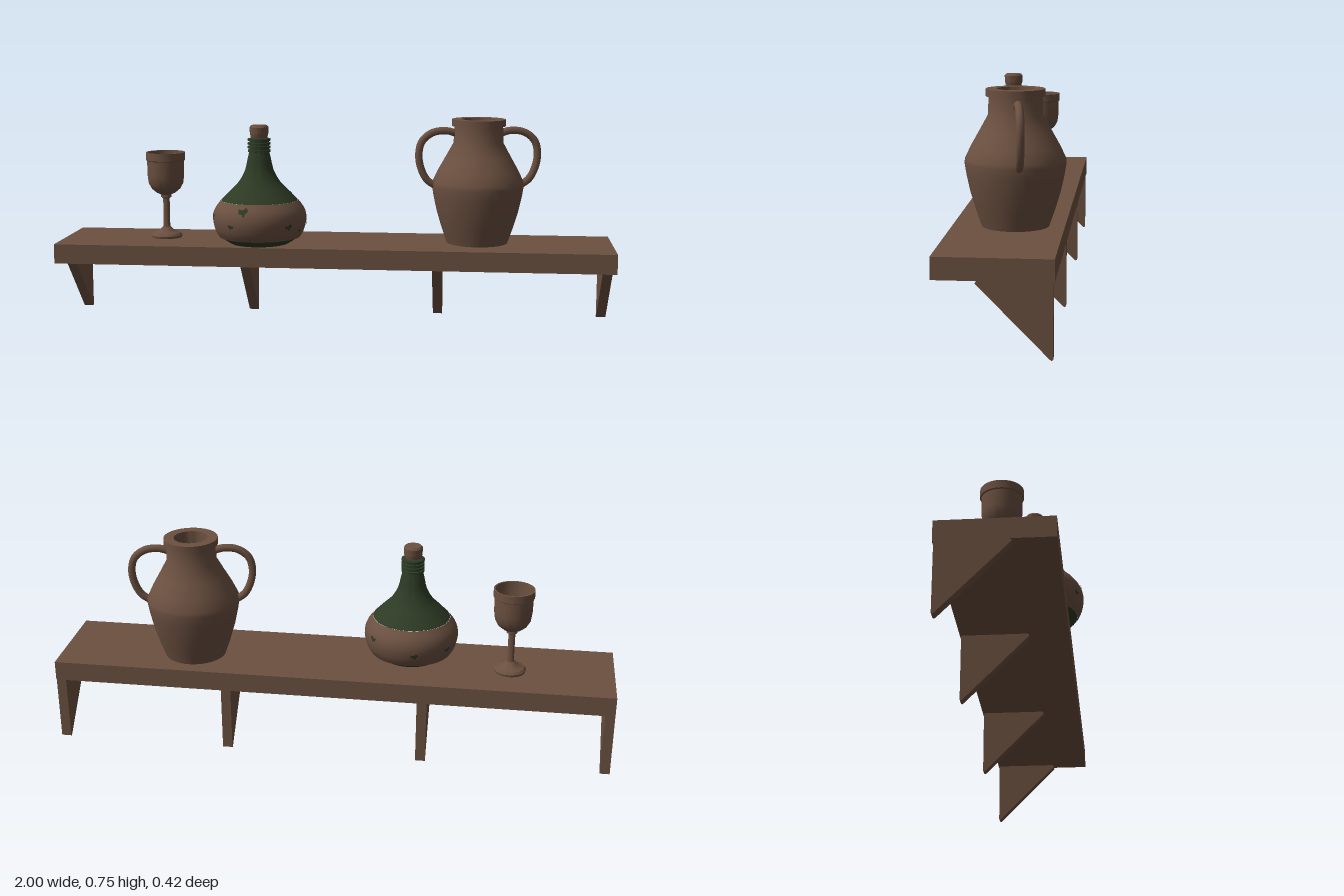
import * as THREE from 'three';
import { toCreasedNormals } from 'three/addons/utils/BufferGeometryUtils.js';

const SHELF_TOP = 0.305;
const vectors = (points) => points.map(([x, y]) => new THREE.Vector2(x, y));

// Round part turned from a [radius, height] profile, listed from the bottom up
function turned(name, profile, material, segments = 40) {
  const geometry = toCreasedNormals(new THREE.LatheGeometry(vectors(profile), segments), 0.5);
  const mesh = new THREE.Mesh(geometry, material);
  mesh.name = name;
  return mesh;
}

// Smooth profile through a few points
const smooth = (points, count) =>
  new THREE.SplineCurve(vectors(points)).getPoints(count).map((p) => [p.x, p.y]);

// Radius of a rising profile at a given height
function radiusAt(profile, y) {
  for (let i = 1; i < profile.length; i++) {
    const [r0, y0] = profile[i - 1];
    const [r1, y1] = profile[i];
    if (y <= y1) return r0 + ((r1 - r0) * (y - y0)) / (y1 - y0);
  }
  return profile[profile.length - 1][0];
}

function group(name, x, z) {
  const g = new THREE.Group();
  g.name = name;
  g.position.set(x, 0, z);
  return g;
}

function createShelf(wood) {
  const shelf = group('shelf', 0, 0);
  const board = new THREE.Mesh(new THREE.BoxGeometry(2, 0.07, 0.367), wood);
  board.name = 'board';
  board.position.set(0, 0.27, -0.0235);
  shelf.add(board);

  // Triangular brackets, drawn in (-z, y) and extruded along x
  const outline = new THREE.Shape(vectors([
    [0.203, 0.236], [-0.022, 0.236], [-0.028, 0.228], [0.193, 0.004], [0.198, 0], [0.203, 0.003],
  ]));
  const geometry = new THREE.ExtrudeGeometry(outline, { depth: 0.035, bevelEnabled: false });
  geometry.rotateY(Math.PI / 2);
  for (const x of [-1, -0.348, 0.355, 0.965]) {
    const bracket = new THREE.Mesh(geometry, wood);
    bracket.name = 'bracket';
    bracket.position.x = x;
    shelf.add(bracket);
  }
  return shelf;
}

function createGoblet(clay) {
  const goblet = group('goblet', -0.63, -0.04);
  goblet.add(turned('cup', [
    [0, SHELF_TOP], [0.055, SHELF_TOP], [0.057, 0.313], [0.05, 0.321], [0.033, 0.326],
    [0.022, 0.336], [0.014, 0.344], [0.012, 0.36], [0.012, 0.45], [0.019, 0.455],
    [0.019, 0.464], [0.034, 0.471], [0.052, 0.486], [0.063, 0.506], [0.067, 0.535],
    [0.068, 0.59], [0.072, 0.593], [0.072, 0.621], [0.066, 0.621], [0.063, 0.54],
    [0.056, 0.507], [0.035, 0.485], [0, 0.478],
  ], clay));
  return goblet;
}

function createBottle(glass, wicker) {
  const bottle = group('bottle', -0.268, 0.04);
  bottle.add(turned('bottleBase', [[0, SHELF_TOP], [0.105, SHELF_TOP], [0.146, 0.331]], glass));

  // Woven cover around the belly
  const cover = smooth([
    [0.146, 0.329], [0.161, 0.356], [0.169, 0.395], [0.162, 0.43], [0.139, 0.462],
  ], 14);
  bottle.add(turned('cover', cover, wicker));

  // Shoulder and neck with rings
  const shoulder = smooth([
    [0.138, 0.462], [0.108, 0.493], [0.075, 0.527], [0.052, 0.568], [0.042, 0.61], [0.036, 0.635],
  ], 18);
  const rings = [];
  for (const y of [0.638, 0.651, 0.664, 0.678]) {
    rings.push([0.035, y - 0.003], [0.041, y - 0.002], [0.041, y + 0.005], [0.035, y + 0.006]);
  }
  bottle.add(turned('neck', [...shoulder, ...rings, [0.03, 0.687], [0, 0.687]], glass));
  bottle.add(turned('cork', [
    [0.028, 0.683], [0.033, 0.7], [0.034, 0.724], [0.029, 0.731], [0, 0.731],
  ], wicker, 14));

  // Ragged gaps in the cover: [angle from +z towards +x, height, size]
  const ragged = [[-1, 0.5], [-0.2, 0.35], [0.5, 0.8], [1, 0.2], [0.45, -0.2], [0.3, -0.9], [-0.3, -0.3], [-0.8, -0.35]];
  const gaps = [
    [-0.22, 0.437, 0.02], [-0.5, 0.382, 0.012], [0.8, 0.38, 0.015], [1.18, 0.36, 0.009],
    [1.62, 0.38, 0.013], [2.3, 0.41, 0.015], [3.3, 0.375, 0.014], [-1.2, 0.41, 0.015], [-2.2, 0.38, 0.013],
  ];
  gaps.forEach(([angle, height, size], i) => {
    const flip = i % 2 ? -1 : 1;
    const points = ragged.map(([u, v]) => [u * size * flip, v * size]);
    const geometry = new THREE.ShapeGeometry(new THREE.Shape(vectors(points)));
    const position = geometry.attributes.position;
    for (let k = 0; k < position.count; k++) {
      const y = height + position.getY(k);
      const a = angle + position.getX(k) / 0.165;
      const r = radiusAt(cover, y) + 0.002;
      position.setXYZ(k, Math.sin(a) * r, y, Math.cos(a) * r);
    }
    geometry.computeVertexNormals();
    const gap = new THREE.Mesh(geometry, glass);
    gap.name = 'coverGap';
    bottle.add(gap);
  });
  return bottle;
}

function createJug(clay) {
  const jug = group('jug', 0.515, -0.045);
  jug.rotation.y = 0.165;
  jug.add(turned('jugBody', [
    [0, SHELF_TOP], [0.11, SHELF_TOP], [0.129, 0.36], [0.147, 0.42], [0.159, 0.475], [0.165, 0.512],
    [0.164, 0.527], [0.145, 0.567], [0.117, 0.617], [0.089, 0.668], [0.087, 0.728],
    [0.096, 0.728], [0.096, 0.752], [0.06, 0.752], [0.058, 0.67], [0.09, 0.61],
    [0.135, 0.52], [0.09, 0.33], [0, 0.325],
  ], clay));

  // Two looped handles, one the half-turn copy of the other
  const path = new THREE.CatmullRomCurve3([
    [0.075, 0.7], [0.115, 0.711], [0.165, 0.705], [0.203, 0.675], [0.215, 0.63],
    [0.208, 0.58], [0.185, 0.535], [0.145, 0.508],
  ].map(([x, y]) => new THREE.Vector3(x, y, 0)));
  const geometry = new THREE.TubeGeometry(path, 32, 0.0135, 10);
  for (const turn of [0, Math.PI]) {
    const handle = new THREE.Mesh(geometry, clay);
    handle.name = 'handle';
    handle.rotation.y = turn;
    jug.add(handle);
  }
  return jug;
}

export function createModel() {
  const brown = new THREE.MeshStandardMaterial({ color: 0x6b5040 });
  brown.name = 'earthBrown';
  const green = new THREE.MeshStandardMaterial({ color: 0x2d3a24 });
  green.name = 'bottleGreen';

  const model = new THREE.Group();
  model.name = 'shelfWithVessels';
  model.add(createShelf(brown), createGoblet(brown), createBottle(green, brown), createJug(brown));
  return model;
}
